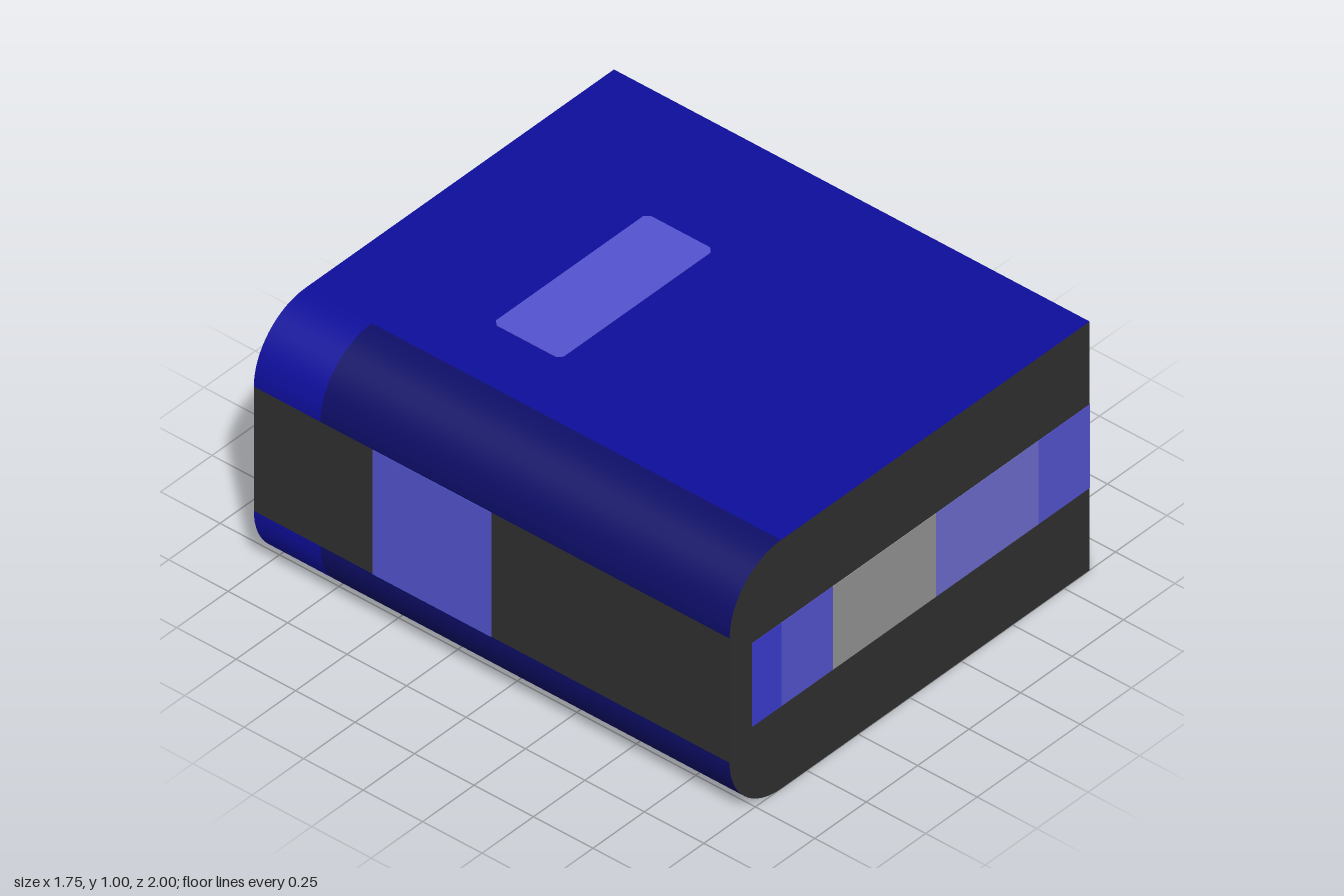
import * as THREE from 'three';

const W = 1.75, H = 1, D = 2, R = 0.25; // overall size and spine rounding
const X = W / 2, Z = D / 2, T = 0.004;   // half sizes, plate thickness

const mat = (name, color) => {
  const m = new THREE.MeshStandardMaterial({ color });
  m.name = name;
  return m;
};

export function createModel() {
  const group = new THREE.Group();
  const blue = mat('coverBlue', 0x0e0e9b);
  const navy = mat('navy', 0x0d0d67);
  const charcoal = mat('charcoal', 0x2f2f2f);
  const grey = mat('grey', 0x949494);
  const mid = mat('periwinkle', 0x5353cf);
  const light = mat('paleBlue', 0x6c6cce);
  const bright = mat('brightBlue', 0x3c3ccf);

  const add = (name, geometry, material, x = 0, y = 0, z = 0) => {
    const mesh = new THREE.Mesh(geometry, material);
    mesh.name = name;
    mesh.position.set(x, y, z);
    group.add(mesh);
    return mesh;
  };

  // End caps: rectangle with two rounded corners on the spine side
  const s = new THREE.Shape();
  s.moveTo(X, 0);
  s.lineTo(X, H);
  s.lineTo(-X + R, H);
  s.absarc(-X + R, H - R, R, Math.PI / 2, Math.PI, false);
  s.lineTo(-X, R);
  s.absarc(-X + R, R, R, Math.PI, Math.PI * 1.5, false);
  s.closePath();
  const cap = new THREE.ShapeGeometry(s, 16);
  add('frontCap', cap, charcoal, 0, 0, Z);
  const backShape = new THREE.Shape(s.getPoints(16).map(p => new THREE.Vector2(-p.x, p.y)).reverse());
  add('backCap', new THREE.ShapeGeometry(backShape).rotateY(Math.PI), charcoal, 0, 0, -Z);

  // Flat covers, fore edge and spine
  const cover = () => new THREE.PlaneGeometry(W - R, D);
  add('topCover', cover().rotateX(-Math.PI / 2), blue, R / 2, H, 0);
  add('bottomCover', cover().rotateX(Math.PI / 2), blue, R / 2, 0, 0);
  add('foreEdge', new THREE.PlaneGeometry(D, H).rotateY(Math.PI / 2), navy, X, H / 2, 0);
  add('spine', new THREE.PlaneGeometry(D, H - 2 * R).rotateY(-Math.PI / 2), charcoal, -X, H / 2, 0);

  // Rounded spine corners, with a short blue end at the back
  for (const [name, y, start] of [['top', H - R, Math.PI], ['bottom', R, Math.PI * 1.5]]) {
    for (const [z0, z1, m] of [[-Z, -0.72, blue], [-0.72, Z, navy]]) {
      const g = new THREE.CylinderGeometry(R, R, z1 - z0, 16, 1, true, start, Math.PI / 2);
      add(name + 'SpineCorner', g.rotateX(Math.PI / 2), m, -X + R, y, (z0 + z1) / 2);
    }
  }

  // Coloured band across both ends
  const bandH = 0.335;
  const bands = [
    [-0.765, -0.625, bright], [-0.625, -0.375, mid], [-0.375, 0.125, grey],
    [0.125, 0.625, light], [0.625, X, mid],
  ];
  for (const side of [1, -1]) {
    for (const [x0, x1, m] of bands) {
      add(side > 0 ? 'frontBand' : 'backBand', new THREE.BoxGeometry(x1 - x0, bandH, T), m,
        (x0 + x1) / 2, H / 2, side * Z);
    }
  }

  // Band along the fore edge
  for (const [z0, z1, m] of [[-0.75, Z, grey], [-Z, -0.75, mid]]) {
    add('foreEdgeBand', new THREE.BoxGeometry(T, bandH, z1 - z0), m, X, H / 2, (z0 + z1) / 2);
  }

  // Spine patch
  add('spinePatch', new THREE.BoxGeometry(T, H - 2 * R, 0.5), mid, -X, H / 2, -0.25);

  // Cover plate with small clipped corners
  const a = 0.375, b = 0.1425, c = 0.018;
  const plate = new THREE.Shape([
    [a, -b + c], [a, b - c], [a - c, b], [-a + c, b],
    [-a, b - c], [-a, -b + c], [-a + c, -b], [a - c, -b],
  ].map(p => new THREE.Vector2(...p)));
  const plateGeo = new THREE.ExtrudeGeometry(plate, { depth: T, bevelEnabled: false });
  add('coverPlate', plateGeo.rotateX(-Math.PI / 2), mid, 0, H - T / 2, -0.2875);

  return group;
}
